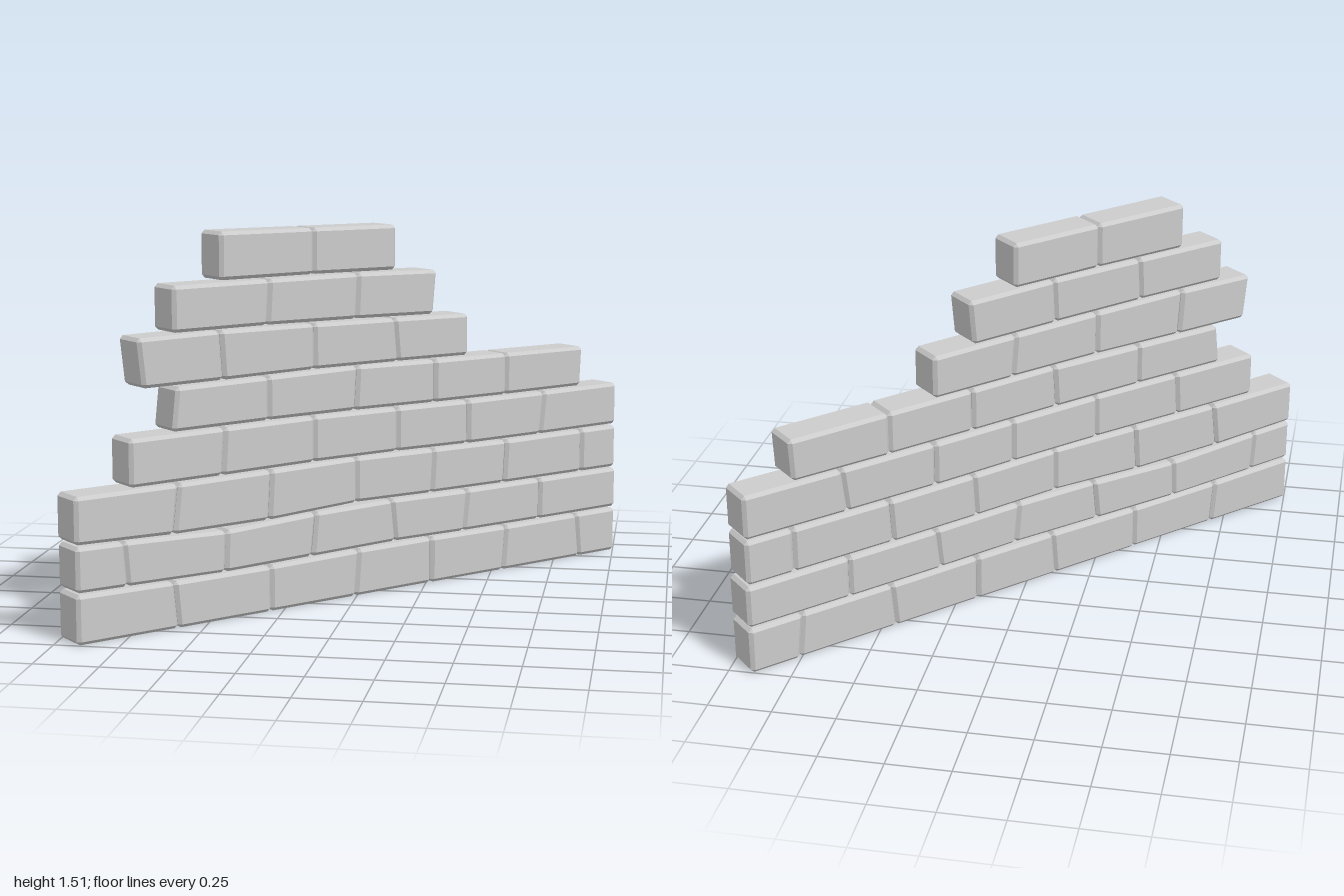
import * as THREE from 'three';
import { ConvexGeometry } from 'three/addons/geometries/ConvexGeometry.js';

const HALF = 0.077;   // half the wall thickness
const BEVEL = 0.014;  // chamfer on every brick edge
const GAP = 0.004;    // half the bed joint between courses

// Slightly wavy bed lines between courses, as [x, y] points
const beds = [
  [[-1, 0], [1, 0]],
  [[-0.9, 0.2], [-0.44, 0.19], [0, 0.2], [0.14, 0.204], [0.5, 0.198], [1, 0.2]],
  [[-0.9, 0.382], [-0.75, 0.378], [-0.44, 0.362], [0, 0.391], [0.4, 0.382], [1, 0.382]],
  [[-0.9, 0.572], [-0.6, 0.572], [0, 0.583], [0.5, 0.572], [1, 0.576]],
  [[-0.75, 0.764], [-0.14, 0.772], [0.4, 0.764], [0.7, 0.764], [1, 0.766]],
  [[-0.7, 0.942], [-0.44, 0.946], [0, 0.957], [0.14, 0.952], [0.85, 0.944]],
  [[-0.7, 1.14], [-0.44, 1.146], [0, 1.14], [0.4, 1.13]],
  [[-0.6, 1.328], [0, 1.33], [0.28, 1.322]],
  [[-0.45, 1.522], [0.14, 1.516]],
];

// Upright joints of each course along the front; a pair is [bottom, top] of a leaning joint
const courses = [
  [-0.9, [-0.592, -0.605], -0.292, [0, 0.012], 0.275, [0.55, 0.562], [0.86, 0.845], 1.01],
  [-0.9, [-0.747, -0.757], [-0.44, -0.435], [-0.152, -0.138], [0.142, 0.128], [0.398, 0.412], 0.695, 1.01],
  [-0.9, [-0.602, -0.585], [-0.297, -0.288], 0.003, [0.276, 0.284], [0.552, 0.56], 0.862, 1.005],
  [-0.735, [-0.447, -0.438], -0.143, 0.15, 0.41, [0.692, 0.707], 1.005],
  [[-0.602, -0.588], -0.295, [0, 0.008], 0.285, 0.555, [0.856, 0.862]],
  [[-0.69, -0.705], [-0.44, -0.45], -0.142, [0.15, 0.138], 0.41],
  [-0.597, [-0.298, -0.29], [0.003, 0.01], [0.28, 0.292]],
  [-0.447, -0.143, 0.143],
];

// Height of a bed line at x
function bedHeight(line, x) {
  if (x <= line[0][0]) return line[0][1];
  for (let i = 1; i < line.length; i++) {
    const [x0, y0] = line[i - 1], [x1, y1] = line[i];
    if (x <= x1) return y0 + (y1 - y0) * (x - x0) / (x1 - x0);
  }
  return line[line.length - 1][1];
}

// Front x to distance along the wall
const along = (x) => x * Math.SQRT2 - HALF;
const ends = (joint) => (Array.isArray(joint) ? joint : [joint, joint]);
const lerp = THREE.MathUtils.lerp;

// A chamfered, slightly skewed block between two joints and two bed lines
function brickGeometry(left, right, bed, top, shift) {
  const l = ends(left), r = ends(right);
  const corner = (s, t) => {
    const x = s ? r[t] : l[t];
    return [along(x), bedHeight(t ? top : bed, x) + (t ? -GAP : GAP)];
  };
  const bl = corner(0, 0), br = corner(1, 0), tl = corner(0, 1), tr = corner(1, 1);
  const length = br[0] - bl[0], height = tl[1] - bl[1];
  const points = [];
  for (const sx of [0, 1]) for (const sy of [0, 1]) for (const sz of [-1, 1]) {
    for (let full = 0; full < 3; full++) {
      const a = full === 0 ? 0 : BEVEL / length;
      const b = full === 1 ? 0 : BEVEL / height;
      const c = full === 2 ? 0 : BEVEL;
      const s = sx ? 1 - a : a, t = sy ? 1 - b : b;
      points.push(new THREE.Vector3(
        lerp(lerp(bl[0], br[0], s), lerp(tl[0], tr[0], s), t),
        lerp(lerp(bl[1], br[1], s), lerp(tl[1], tr[1], s), t),
        sz * (HALF - c) + shift));
    }
  }
  return new ConvexGeometry(points);
}

export function createModel() {
  const model = new THREE.Group();
  model.name = 'brickWall';
  const material = new THREE.MeshStandardMaterial({ color: 0xcccccc, flatShading: true });

  // The wall stands diagonally
  const wall = new THREE.Group();
  wall.name = 'wall';
  wall.rotation.y = Math.PI / 4;
  model.add(wall);

  courses.forEach((joints, row) => {
    const course = new THREE.Group();
    course.name = `course${row + 1}`;
    for (let i = 0; i < joints.length - 1; i++) {
      const shift = 0.002 * Math.sin(row * 2.3 + i * 1.7); // bricks sit a little unevenly
      const geometry = brickGeometry(joints[i], joints[i + 1], beds[row], beds[row + 1], shift);
      const brick = new THREE.Mesh(geometry, material);
      brick.name = `brick${i + 1}`;
      course.add(brick);
    }
    wall.add(course);
  });
  return model;
}
